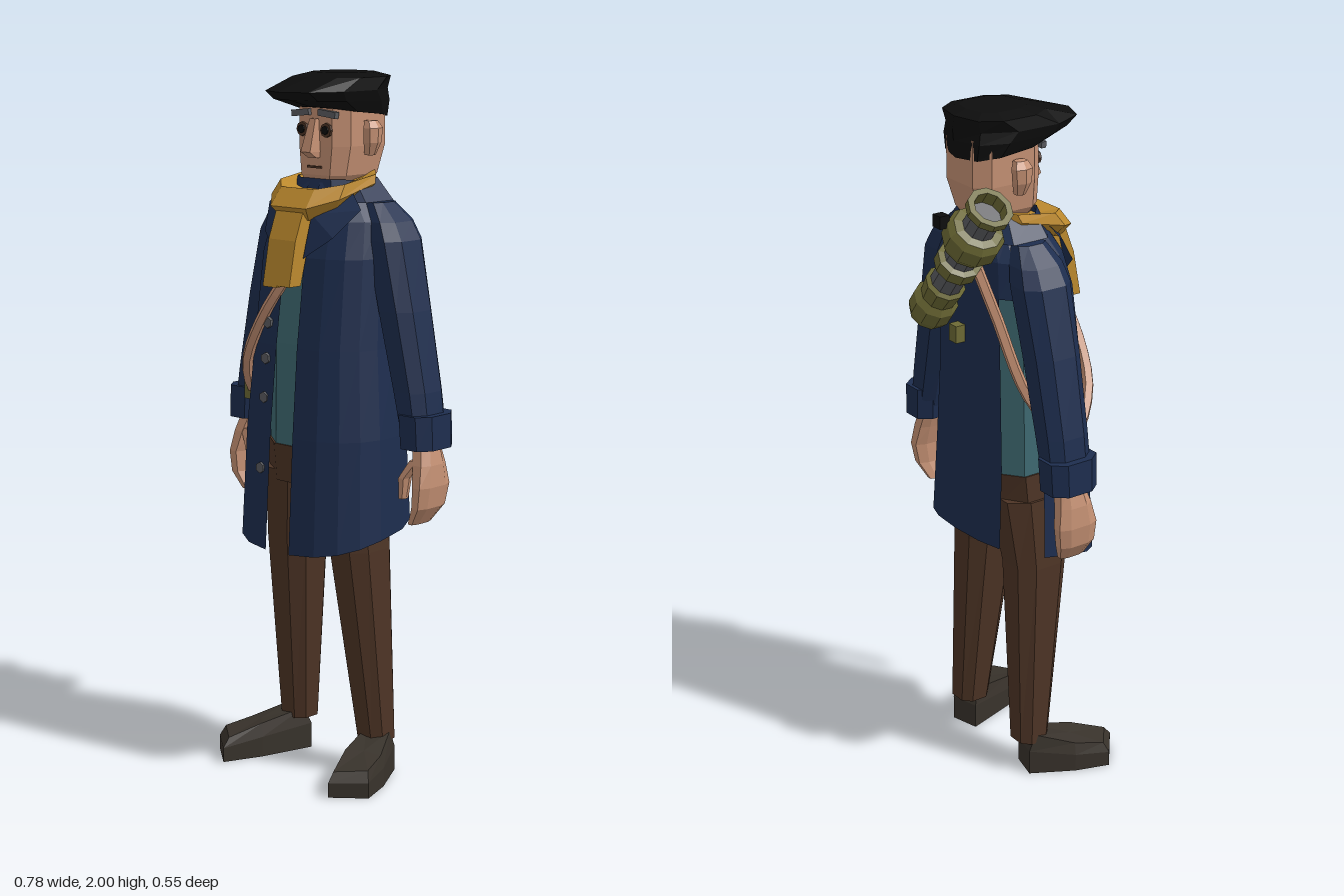
import * as THREE from 'three';

const mat = (name, color) => {
  const m = new THREE.MeshStandardMaterial({ color });
  m.name = name;
  return m;
};

// Signed power: p < 1 makes an ellipse boxier, p = 0 makes a rectangle
const spow = (v, p) => Math.sign(v) * Math.abs(v) ** p;

// Horizontal ring: height, half width, front z, back z; tilt raises the front
function ring(y, w, zf, zb, { cx = 0, n = 8, p = 0.75, tilt = 0, gap = 0, phase = Math.PI / n } = {}) {
  const pts = [];
  const count = gap ? n + 1 : n;
  for (let i = 0; i < count; i++) {
    const a = gap ? gap + ((Math.PI * 2 - gap * 2) * i) / n : phase + (Math.PI * 2 * i) / n;
    pts.push([
      cx + w * spow(Math.sin(a), p),
      y + tilt * Math.cos(a),
      (zf + zb) / 2 + ((zf - zb) / 2) * spow(Math.cos(a), p),
    ]);
  }
  return pts;
}

// Faceted skin over rings listed from bottom to top
function loft(rings, { closed = true, caps = true, skip = () => false } = {}) {
  const v = [];
  const n = rings[0].length;
  for (let i = 0; i < rings.length - 1; i++) {
    for (let j = 0; j < (closed ? n : n - 1); j++) {
      if (skip(i, j)) continue;
      const k = (j + 1) % n;
      const [a, b, c, d] = [rings[i][j], rings[i][k], rings[i + 1][k], rings[i + 1][j]];
      v.push(...a, ...b, ...c, ...a, ...c, ...d);
    }
  }
  if (closed && caps) {
    [rings[0], rings[rings.length - 1]].forEach((r, top) => {
      const mid = [0, 1, 2].map((q) => r.reduce((s, pt) => s + pt[q], 0) / n);
      for (let j = 0; j < n; j++) {
        const k = (j + 1) % n;
        v.push(...mid, ...(top ? r[j] : r[k]), ...(top ? r[k] : r[j]));
      }
    });
  }
  const g = new THREE.BufferGeometry();
  g.setAttribute('position', new THREE.Float32BufferAttribute(v, 3));
  g.computeVertexNormals();
  return g;
}

const faceted = (g) => {
  const f = g.toNonIndexed();
  f.computeVertexNormals();
  return f;
};

export function createModel() {
  const navy = mat('navy coat', 0x1d2d4e);
  const teal = mat('teal shirt', 0x3f6a72);
  const yellow = mat('mustard scarf', 0xbd8a2e);
  const brown = mat('brown trousers', 0x4d3425);
  const leather = mat('dark boots', 0x38322b);
  const skin = mat('skin', 0xc49073);
  const black = mat('black', 0x0d0d0d);
  const olive = mat('olive metal', 0x6d6a35);
  const grey = mat('grey metal', 0x5b5c60);
  navy.side = THREE.DoubleSide;

  const model = new THREE.Group();
  model.name = 'figure';
  const add = (name, geometry, material, parent = model) => {
    const m = new THREE.Mesh(geometry, material);
    m.name = name;
    parent.add(m);
    return m;
  };
  const box = (name, w, h, d, x, y, z, material) => {
    const m = add(name, new THREE.BoxGeometry(w, h, d), material);
    m.position.set(x, y, z);
    return m;
  };

  // Body under the coat
  add('shirt', loft([
    ring(0.95, 0.175, 0.18, -0.09), ring(1.25, 0.175, 0.175, -0.095),
    ring(1.5, 0.17, 0.15, -0.09), ring(1.62, 0.12, 0.1, -0.07),
  ]), teal);
  add('hips', loft([ring(0.85, 0.185, 0.17, -0.075), ring(0.96, 0.18, 0.185, -0.092)]), brown);
  add('neck', loft([ring(1.58, 0.06, 0.06, -0.07), ring(1.74, 0.06, 0.06, -0.07)]), skin);

  // Open coat with a slit behind the right arm
  const coatOpt = { n: 18, p: 0.8, gap: 0.12 };
  const coatRings = [
    [0.72, 0.245, 0.258, -0.145, -0.05], [1.0, 0.235, 0.238, -0.13, 0], [1.25, 0.215, 0.215, -0.122, 0],
    [1.5, 0.205, 0.182, -0.12, 0], [1.6, 0.19, 0.15, -0.112, 0], [1.66, 0.135, 0.12, -0.095, 0],
    [1.7, 0.1, 0.1, -0.08, 0],
  ].map(([y, w, f, b, tilt]) => ring(y, w, f, b, { ...coatOpt, tilt }));
  add('coat', loft(coatRings, { closed: false, skip: (i, j) => i < 3 && (j === 11 || j === 12) }), navy);
  add('coatCollar', loft([
    ring(1.65, 0.165, 0.12, -0.115), ring(1.71, 0.115, 0.1, -0.09),
  ], { caps: false }), navy);
  [1.47, 1.31, 1.21, 1.1, 0.9].forEach((y, i) => {
    const b = add('coatButton', faceted(new THREE.CylinderGeometry(0.016, 0.016, 0.012, 6)), grey);
    b.rotation.x = Math.PI / 2;
    b.position.set(-0.08, y, [0.182, 0.204, 0.214, 0.222, 0.238][i]);
  });

  for (const s of [1, -1]) {
    const side = s > 0 ? 'left' : 'right';
    const oval = (x, y, w, zf, zb, n = 8) => ring(y, w, zf, zb, { cx: s * x, n });

    // Lapel
    const lapel = [[0.1, 1.7, 0.07], [0.175, 1.635, 0.1], [0.13, 1.56, 0.165], [0.05, 1.5, 0.2], [0.055, 1.62, 0.17]]
      .map(([x, y, z]) => [s * x, y, z]);
    const lg = new THREE.BufferGeometry();
    const order = s > 0 ? [0, 4, 1, 1, 4, 2, 2, 4, 3] : [0, 1, 4, 1, 2, 4, 2, 3, 4];
    lg.setAttribute('position', new THREE.Float32BufferAttribute(order.flatMap((k) => lapel[k]), 3));
    lg.computeVertexNormals();
    add(side + 'Lapel', lg, navy);

    // Sleeve and cuff
    add(side + 'Sleeve', loft([
      oval(0.328, 1.0, 0.05, 0.075, -0.065), oval(0.3, 1.14, 0.06, 0.076, -0.068),
      oval(0.25, 1.36, 0.066, 0.08, -0.075), oval(0.205, 1.55, 0.066, 0.08, -0.085),
      oval(0.185, 1.6, 0.058, 0.07, -0.075), oval(0.15, 1.65, 0.035, 0.045, -0.05),
    ]), navy);
    add(side + 'Cuff', loft([
      oval(0.334, 0.985, 0.06, 0.085, -0.075), oval(0.328, 1.08, 0.062, 0.086, -0.078),
    ]), navy);

    // Hand and thumb
    add(side + 'Hand', loft([
      oval(0.325, 0.77, 0.015, 0.065, -0.02), oval(0.352, 0.82, 0.024, 0.078, -0.045),
      oval(0.358, 0.88, 0.027, 0.08, -0.055), oval(0.348, 0.94, 0.032, 0.065, -0.045),
      oval(0.332, 1.0, 0.033, 0.045, -0.035),
    ]), skin);
    add(side + 'Thumb', loft([
      oval(0.295, 0.84, 0.01, 0.07, 0.04, 6), oval(0.3, 0.9, 0.016, 0.075, 0.035, 6),
      oval(0.33, 0.95, 0.02, 0.06, 0.015, 6),
    ]), skin);

    // Trouser leg
    add(side + 'Leg', loft([
      oval(0.153, 0.1, 0.053, 0.06, -0.043), oval(0.122, 0.67, 0.078, 0.135, -0.045),
      oval(0.096, 0.88, 0.09, 0.165, -0.07),
    ]), brown);

    // Boot turned outwards: x, z and height around the sole
    let sole = [[0.21, 0.272, 0.07], [0.298, 0.2, 0.075], [0.265, 0.1, 0.09],
      [0.198, -0.022, 0.125], [0.112, 0.0, 0.125], [0.16, 0.16, 0.1]];
    if (s < 0) sole = sole.map(([x, z, h]) => [-x, z, h]).reverse();
    const layer = (f, k) => sole.map(([x, z, h]) => {
      const c = [s * 0.205, 0.12];
      return [c[0] + (x - c[0]) * k, h * f, c[1] + (z - c[1]) * k];
    });
    add(side + 'Boot', loft([layer(0, 1), layer(0.6, 1), layer(1, 0.85)]), leather);

    // Ear, eye and brow
    add(side + 'Ear', loft([
      oval(0.112, 1.775, 0.015, 0.01, -0.02, 6), oval(0.122, 1.81, 0.02, 0.022, -0.03, 6),
      oval(0.124, 1.85, 0.02, 0.025, -0.035, 6), oval(0.115, 1.87, 0.015, 0.015, -0.025, 6),
    ]), skin);
    const eye = add(side + 'Eye', faceted(new THREE.CylinderGeometry(0.02, 0.02, 0.008, 8)), brown);
    const pupil = add(side + 'Pupil', faceted(new THREE.CylinderGeometry(0.012, 0.012, 0.008, 8)), black);
    eye.rotation.x = pupil.rotation.x = Math.PI / 2;
    eye.position.set(s * 0.045, 1.845, 0.1);
    pupil.position.set(s * 0.045, 1.845, 0.104);
    box(side + 'Brow', 0.065, 0.018, 0.016, s * 0.05, 1.89, 0.098, grey).rotation.z = -s * 0.1;
  }

  // Head, nose and mouth
  add('head', loft([
    ring(1.685, 0.06, 0.085, -0.08, { p: 0.5 }), ring(1.72, 0.087, 0.1, -0.105, { p: 0.5 }),
    ring(1.8, 0.1, 0.1, -0.128, { p: 0.5 }), ring(1.93, 0.1, 0.098, -0.128, { p: 0.5 }),
  ]), skin);
  add('nose', loft([
    ring(1.768, 0.016, 0.11, 0.08, { n: 4, p: 0 }), ring(1.785, 0.02, 0.14, 0.08, { n: 4, p: 0.3 }),
    ring(1.875, 0.011, 0.108, 0.08, { n: 4, p: 0 }),
  ]), skin);
  box('mouth', 0.05, 0.006, 0.006, 0, 1.742, 0.1, brown);

  // Cap with its upturned peak
  add('cap', loft([
    ring(1.89, 0.112, 0.115, -0.136, { n: 10, tilt: 0.018, phase: 0 }),
    ring(1.925, 0.125, 0.2, -0.142, { n: 10, tilt: 0.005, phase: 0 }),
    ring(1.953, 0.132, 0.243, -0.145, { n: 10, p: 0.9, phase: 0 }),
    ring(1.988, 0.126, 0.12, -0.14, { n: 10, phase: 0 }),
    ring(2.0, 0.08, 0.07, -0.1, { n: 10, phase: 0 }),
  ]), black);

  // Scarf wrapped round the neck, with two hanging ends
  add('scarf', loft([
    ring(1.645, 0.105, 0.185, -0.06, { tilt: -0.045 }), ring(1.68, 0.137, 0.215, -0.085, { tilt: -0.045 }),
    ring(1.712, 0.13, 0.175, -0.085, { tilt: -0.025 }), ring(1.705, 0.088, 0.11, -0.06, { tilt: -0.025 }),
  ]), yellow);
  for (const [x, w, y] of [[-0.03, 0.026, 1.42], [0.02, 0.026, 1.425]]) {
    add('scarfEnd', loft([
      ring(y, w, 0.25, 0.205, { cx: x, n: 4, p: 0 }), ring(1.55, w, 0.225, 0.17, { cx: x, n: 4, p: 0 }),
      ring(1.64, w, 0.19, 0.14, { cx: x, n: 4, p: 0 }),
    ]), yellow);
  }

  // Strap across the chest and up the back
  const path = new THREE.CatmullRomCurve3([
    [0.0, 1.47, 0.19], [-0.1, 1.32, 0.21], [-0.19, 1.18, 0.18], [-0.243, 1.08, 0.08],
    [-0.21, 1.22, -0.04], [-0.15, 1.46, -0.11], [-0.1, 1.62, -0.15],
  ].map((p) => new THREE.Vector3(...p)));
  add('strap', faceted(new THREE.TubeGeometry(path, 24, 0.017, 5)), skin);
  box('strapBuckle', 0.03, 0.06, 0.05, -0.243, 1.09, 0.1, olive);

  // Spyglass on the back: profiles run from the eyepiece end (t = 0) downwards
  const scope = new THREE.Group();
  scope.name = 'spyglass';
  const axis = new THREE.Vector3(-0.3, 0.385, 0).normalize();
  scope.quaternion.setFromUnitVectors(new THREE.Vector3(0, 1, 0), axis);
  scope.position.set(-0.235, 1.805, -0.187);
  model.add(scope);
  const turned = (name, pts, material) => add(name, faceted(new THREE.LatheGeometry(
    pts.map(([r, t]) => new THREE.Vector2(r, -t)).reverse(), 10)), material, scope);
  turned('spyglassTube', [[0, 0.04], [0.047, 0.04], [0.047, 0.48], [0, 0.48]], grey);
  turned('upperRim', [[0.046, 0.045], [0.046, 0], [0.064, 0], [0.064, 0.022], [0.05, 0.03]], olive);
  turned('thickCollar', [[0.045, 0.085], [0.07, 0.09], [0.082, 0.11], [0.082, 0.155], [0.066, 0.18], [0.045, 0.185]], olive);
  turned('middleRing', [[0.045, 0.225], [0.064, 0.23], [0.064, 0.265], [0.045, 0.275]], olive);
  turned('lowerBarrel', [[0.045, 0.335], [0.058, 0.345], [0.052, 0.4], [0.065, 0.42], [0.065, 0.465], [0.055, 0.49], [0, 0.49]], olive);
  box('spyglassKnob', 0.035, 0.035, 0.03, -0.115, 1.75, -0.262, black);
  box('spyglassKnob', 0.035, 0.035, 0.035, -0.06, 1.71, -0.18, black);
  box('strapClip', 0.035, 0.05, 0.03, 0.0, 1.37, -0.135, olive);

  return model;
}
